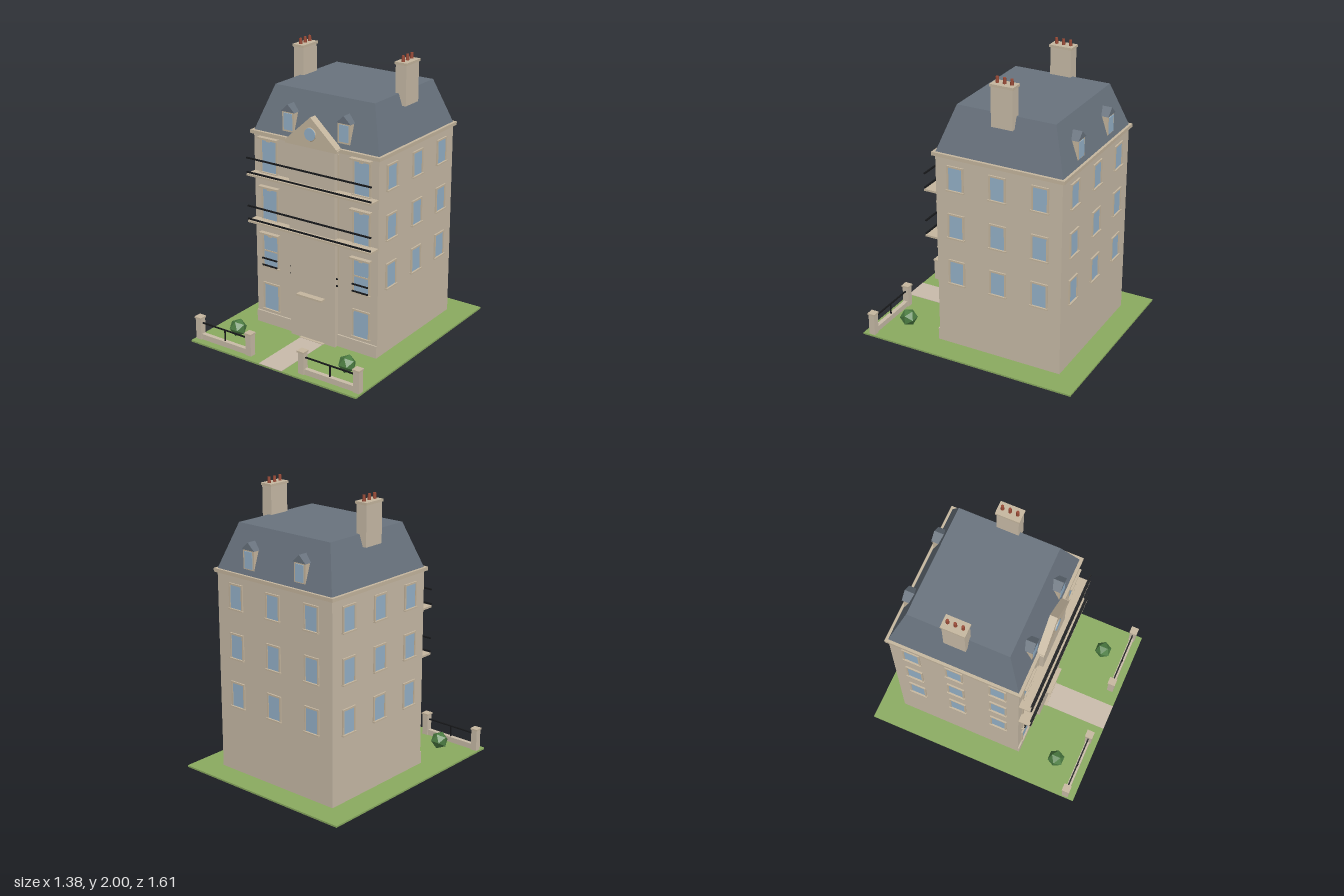
import * as THREE from 'three';

const mat = (name, color, extra = {}) => {
  const m = new THREE.MeshStandardMaterial({ color, ...extra });
  m.name = name;
  return m;
};

export function createModel() {
  const model = new THREE.Group();
  model.name = 'townhouse';
  const stone = mat('stone', 0xc9bca8);
  const trim = mat('trim stone', 0xc6b79f);
  const slate = mat('slate', 0x69737e, { flatShading: true });
  const glass = mat('glass', 0x96b3ca);
  const iron = mat('black iron', 0x18191b);
  const grass = mat('grass', 0x8aab60);
  const paving = mat('paving', 0xc9bbab);
  const clay = mat('clay', 0x9a4a36);
  const leaf = mat('leaf', 0x4c7c42, { flatShading: true });

  const add = (name, geo, material, parent = model) => {
    const mesh = new THREE.Mesh(geo, material);
    mesh.name = name;
    parent.add(mesh);
    return mesh;
  };
  // Box given by its two extremes on each axis
  const box = (name, x0, x1, y0, y1, z0, z1, material, parent) => {
    const g = new THREE.BoxGeometry(x1 - x0, y1 - y0, z1 - z0);
    g.translate((x0 + x1) / 2, (y0 + y1) / 2, (z0 + z1) / 2);
    return add(name, g, material, parent);
  };
  // Triangular prism with its base at y0 and its ridge along z
  const gable = (name, x, halfWidth, y0, y1, z0, z1, material, parent) => {
    const s = new THREE.Shape();
    s.moveTo(x - halfWidth, y0);
    s.lineTo(x + halfWidth, y0);
    s.lineTo(x, y1);
    const g = new THREE.ExtrudeGeometry(s, { depth: z1 - z0, bevelEnabled: false });
    g.translate(0, 0, z0);
    return add(name, g, material, parent);
  };
  // Window on the local z = 0 plane, facing +z
  const makeWindow = (name, w, y0, y1, parent, hood) => {
    const g = new THREE.Group();
    g.name = name;
    parent.add(g);
    const h = w / 2, f = 0.012;
    box('pane', -h, h, y0, y1, 0, 0.005, glass, g);
    for (const s of [-1, 1]) {
      const a = s * h, b = s * (h + f);
      box('jamb', Math.min(a, b), Math.max(a, b), y0, y1, 0, 0.01, trim, g);
    }
    box('lintel', -h - f, h + f, y1, y1 + f, 0, 0.011, trim, g);
    box('sill', -h - 0.016, h + 0.016, y0 - 0.01, y0, 0, 0.018, trim, g);
    if (hood) {
      box('hood', -h - 0.022, h + 0.022, y1 + f, y1 + 0.024, 0, 0.034, trim, g);
      box('keystone', -0.012, 0.012, y1 - 0.004, y1 + 0.016, 0, 0.02, trim, g);
    }
    return g;
  };

  // Garden
  box('lawn', -0.69, 0.69, 0, 0.012, -0.805, 0.805, grass);
  box('path', -0.095, 0.095, 0.01, 0.015, 0.3, 0.805, paving);

  // Walls, projecting bay and cornice
  const X = 0.507, ZB = -0.635, ZF = 0.287;
  box('walls', -X, X, 0.01, 1.415, ZB, ZF, stone);
  box('centralBay', -0.187, 0.187, 0.01, 1.42, ZF - 0.01, 0.325, stone);
  box('bayBacking', -0.198, 0.198, 0.45, 1.4, ZF - 0.01, 0.295, trim);
  box('cornice', -0.525, 0.525, 1.415, 1.44, ZB - 0.018, 0.307, trim);
  box('bayCornice', -0.21, 0.21, 1.415, 1.44, 0.28, 0.335, trim);
  box('plinth', -X, X, 0.01, 0.1, ZF - 0.01, 0.298, stone);
  box('doorHood', -0.105, 0.105, 0.343, 0.356, 0.32, 0.37, trim);
  box('doorStep', -0.1, 0.1, 0.01, 0.018, 0.32, 0.345, trim);

  // Mansard roof: a box with its top corners drawn in
  const roof = new THREE.BoxGeometry(1.01, 0.31, 0.92);
  const p = roof.attributes.position;
  for (let i = 0; i < p.count; i++) {
    if (p.getY(i) > 0) {
      p.setX(i, Math.sign(p.getX(i)) * 0.4);
      p.setZ(i, Math.sign(p.getZ(i)) * 0.355);
    }
  }
  roof.computeVertexNormals();
  roof.translate(0, 1.595, -0.175);
  add('mansardRoof', roof, slate);

  // Pediment with its round window
  gable('pediment', 0, 0.215, 1.432, 1.625, 0.28, 0.335, trim);
  const ring = add('roundWindowFrame', new THREE.TorusGeometry(0.043, 0.004, 6, 32), trim);
  ring.position.set(0, 1.51, 0.336);
  const disc = new THREE.CylinderGeometry(0.043, 0.043, 0.009, 32).rotateX(Math.PI / 2);
  add('roundWindow', disc, glass).position.set(0, 1.51, 0.339);

  // Dormers, front and back
  for (const [zWall, turn] of [[ZF, 0], [ZB, Math.PI]]) {
    for (const x of [-0.225, 0.225]) {
      const d = new THREE.Group();
      d.name = 'dormer';
      d.position.set(x, 0, zWall);
      d.rotation.y = turn;
      model.add(d);
      box('dormerWalls', -0.049, 0.049, 1.47, 1.608, -0.1, -0.012, trim, d);
      box('dormerPane', -0.034, 0.034, 1.483, 1.598, -0.012, -0.007, glass, d);
      gable('dormerRoof', 0, 0.056, 1.608, 1.66, -0.11, -0.006, slate, d);
    }
  }

  // Side and back windows, three rows of three
  const rows = [[0.495, 0.658], [0.842, 1.004], [1.19, 1.35]];
  const right = new THREE.Group(), left = new THREE.Group(), back = new THREE.Group();
  right.name = 'rightWindows';
  left.name = 'leftWindows';
  back.name = 'backWindows';
  right.rotation.y = -Math.PI / 2;
  left.rotation.y = Math.PI / 2;
  back.rotation.y = Math.PI;
  right.position.x = -X;
  left.position.x = X;
  back.position.z = ZB;
  model.add(right, left, back);
  for (const [y0, y1] of rows) {
    for (const z of [0.138, -0.173, -0.48]) {
      makeWindow('sideWindow', 0.1, y0, y1, right).position.x = z;
      makeWindow('sideWindow', 0.1, y0, y1, left).position.x = -z;
    }
    for (const x of [-0.335, 0, 0.335]) makeWindow('backWindow', 0.1, y0, y1, back).position.x = x;
  }

  // Front windows, mirrored about the bay
  const floors = [[0.13, 0.318, false], [0.458, 0.688, true], [0.81, 1.03, true], [1.155, 1.38, true]];
  for (const s of [-1, 1]) {
    const x = s * 0.378;
    floors.forEach(([y0, y1, hood], i) => {
      const w = makeWindow('frontWindow', 0.118, y0, y1, model, hood);
      w.position.set(x, 0, ZF);
      if (i === 1) box('glazingBar', -0.059, 0.059, 0.57, 0.58, 0, 0.008, trim, w);
    });
    for (const y of [0.469, 0.52]) {
      box('windowRail', x - 0.064, x + 0.064, y - 0.005, y + 0.005, 0.306, 0.314, iron);
      const e = s * 0.192;
      box('bayRailEnd', e - 0.006, e + 0.006, y - 0.005, y + 0.005, 0.306, 0.314, iron);
    }
  }

  // Balconies
  for (const y of [0.795, 1.135]) {
    box('balconySlab', -X, X, y, y + 0.014, ZF - 0.01, 0.38, trim);
    for (const h of [0.025, y > 1 ? 0.127 : 0.12]) {
      box('balconyRail', -X, X, y + h - 0.005, y + h + 0.005, 0.37, 0.38, iron);
    }
  }

  for (const s of [-1, 1]) {
    // Chimney with three pots
    const c = new THREE.Group();
    c.name = 'chimney';
    c.position.set(s * 0.414, 0, -0.176);
    model.add(c);
    box('chimneyStack', -0.041, 0.041, 1.67, 1.945, -0.077, 0.077, stone, c);
    box('chimneyCap', -0.047, 0.047, 1.943, 1.96, -0.084, 0.084, trim, c);
    for (const z of [-0.052, 0, 0.052]) {
      add('chimneyPot', new THREE.CylinderGeometry(0.01, 0.012, 0.042, 12), clay, c).position.set(0, 1.979, z);
    }

    // Garden wall with piers and railing
    const w = new THREE.Group();
    w.name = 'gardenWall';
    w.position.set(s * 0.44, 0, 0.737);
    model.add(w);
    for (const x of [-0.219, 0.219]) {
      box('pier', x - 0.023, x + 0.023, 0.01, 0.166, -0.023, 0.023, stone, w);
      box('pierCap', x - 0.028, x + 0.028, 0.166, 0.178, -0.028, 0.028, trim, w);
    }
    box('lowWall', -0.2, 0.2, 0.01, 0.052, -0.015, 0.015, stone, w);
    box('railing', -0.2, 0.2, 0.128, 0.136, -0.005, 0.005, iron, w);
    box('railingPost', -0.004, 0.004, 0.05, 0.13, -0.004, 0.004, iron, w);

    // Shrub
    const shrub = add('shrub', new THREE.IcosahedronGeometry(0.063, 0), leaf);
    shrub.position.set(s * 0.46, 0.081, 0.573);
    shrub.rotation.y = Math.PI / 2;
  }
  return model;
}
